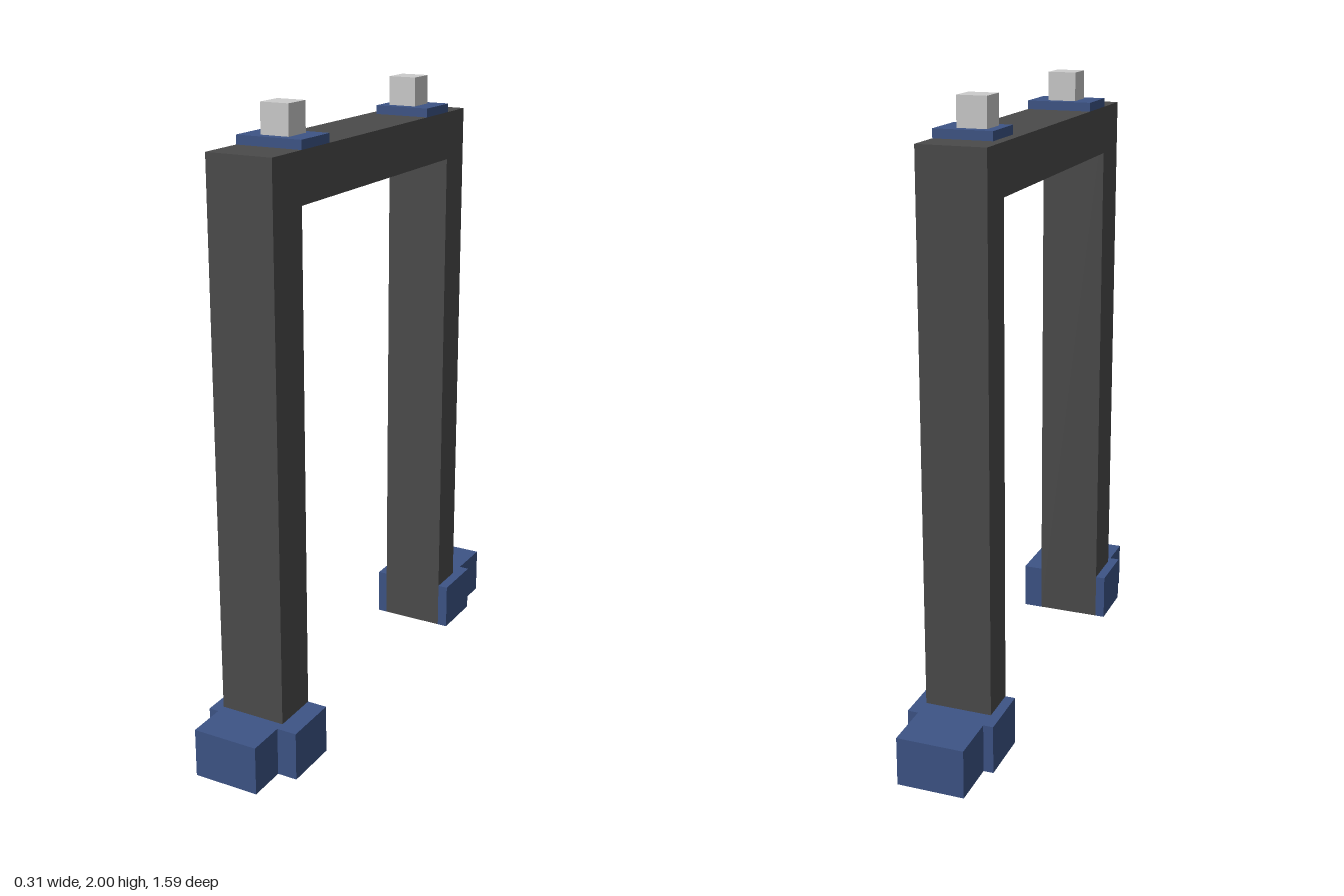
import * as THREE from 'three';

const mat = (name, color) => {
  const m = new THREE.MeshStandardMaterial({ color });
  m.name = name;
  return m;
};

export function createModel() {
  const model = new THREE.Group();
  model.name = 'gantryFrame';
  const charcoal = mat('charcoal', 0x4b4b4b);
  const blue = mat('blue', 0x3d5486);
  const lightGrey = mat('lightGrey', 0xcccccc);

  // Box given by its extents along each axis
  const box = (name, material, [x0, x1], [y0, y1], [z0, z1]) => {
    const mesh = new THREE.Mesh(new THREE.BoxGeometry(x1 - x0, y1 - y0, z1 - z0), material);
    mesh.position.set((x0 + x1) / 2, (y0 + y1) / 2, (z0 + z1) / 2);
    mesh.name = name;
    model.add(mesh);
  };

  const width = [-0.125, 0.09];
  const footHeight = [0, 0.157];

  // Frame: two legs joined by a top beam
  box('frontLeg', charcoal, width, [0, 1.88], [0.487, 0.64]);
  box('backLeg', charcoal, width, [0, 1.88], [-0.577, -0.453]);
  box('topBeam', charcoal, width, [1.725, 1.88], [-0.453, 0.487]);

  // Feet: a toe block and a block on each side of the leg
  const feet = [
    { name: 'front', toe: [0.64, 0.795], side: [0.487, 0.67], outer: 0.155 },
    { name: 'back', toe: [-0.797, -0.577], side: [-0.64, -0.453], outer: 0.124 },
  ];
  for (const f of feet) {
    box(f.name + 'Toe', blue, width, footHeight, f.toe);
    box(f.name + 'FootLeft', blue, [width[1], f.outer], footHeight, f.side);
    box(f.name + 'FootRight', blue, [-0.157, width[0]], footHeight, f.side);
  }

  // Pegs on base plates along the beam
  box('frontPlate', blue, width, [1.88, 1.908], [0.33, 0.486]);
  box('backPlate', blue, [-0.094, 0.09], [1.88, 1.908], [-0.454, -0.298]);
  box('frontPeg', lightGrey, [-0.063, 0.03], [1.908, 2], [0.361, 0.454]);
  box('backPeg', lightGrey, [-0.063, 0.03], [1.908, 2], [-0.421, -0.329]);

  return model;
}
